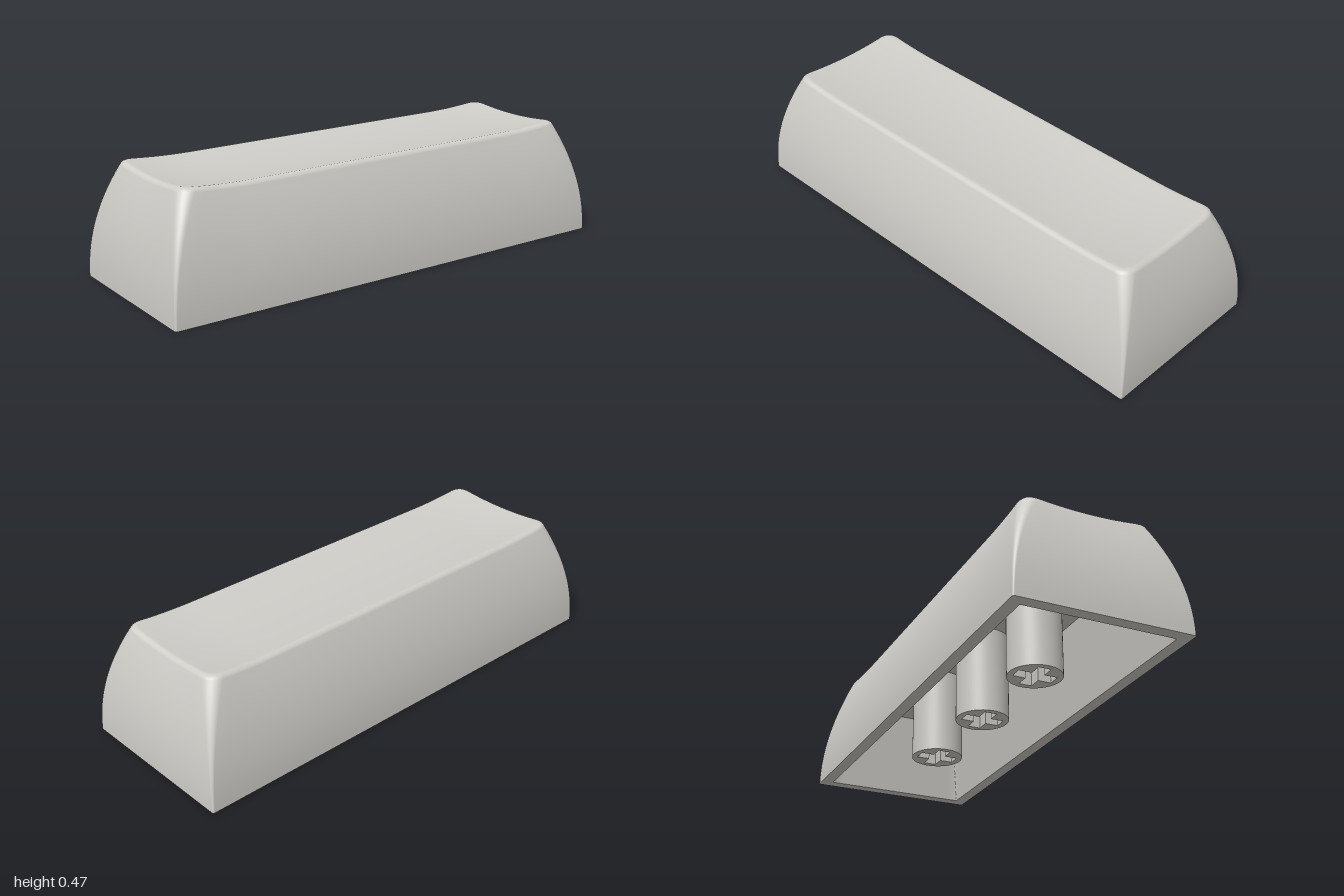
import * as THREE from 'three';
import { mergeVertices, toCreasedNormals } from 'three/addons/utils/BufferGeometryUtils.js';

const HX = 1, HZ = 0.355;      // half size of the base
const CEILING = 0.36;          // height of the hollow inside
const WALL = 0.05;

// Height of the scooped top: hollow across z, lifting towards both ends
function dish(x, z) {
  const u = THREE.MathUtils.clamp((Math.abs(x) - 0.6) / 0.284, 0, 1);
  const v = Math.min(Math.abs(z) / 0.239, 1);
  return 0.446 + 0.016 * v * v + 0.016 * u * u;
}

// Rounded rectangle inset from the base outline; height(x, z) gives y
function ring(inset, radius, height) {
  const hx = HX - inset, hz = Math.max(HZ - inset, 0);
  const r = Math.min(radius, hz);
  const flat = [];
  for (let q = 0; q < 4; q++) {
    const sx = q === 0 || q === 3 ? 1 : -1, sz = q < 2 ? 1 : -1;
    for (let i = 0; i <= 6; i++) {
      const a = (q + i / 6) * Math.PI / 2;
      flat.push([sx * (hx - r) + r * Math.cos(a), sz * (hz - r) + r * Math.sin(a)]);
    }
    // straight side up to the start of the next corner
    const [x, z] = flat[flat.length - 1];
    const long = q % 2 === 0, n = long ? 40 : 14;
    for (let i = 1; i < n; i++) {
      const k = 1 - 2 * i / n;
      flat.push(long ? [x * k, z] : [x, z * k]);
    }
  }
  return flat.map(([x, z]) => [x, height(x, z), z]);
}

// Skin joining successive rings
function loft(rings) {
  const n = rings[0].length, index = [];
  for (let i = 0; i < rings.length - 1; i++) {
    for (let j = 0; j < n; j++) {
      const a = i * n + j, b = i * n + (j + 1) % n, c = a + n, d = b + n;
      index.push(a, c, b, b, c, d);
    }
  }
  let g = new THREE.BufferGeometry();
  g.setAttribute('position', new THREE.Float32BufferAttribute(rings.flat(2), 3));
  g.setIndex(index);
  g = mergeVertices(g, 1e-5);
  g.computeVertexNormals();
  return g;
}

// Curved sides, rounded rim and scooped top in one smooth skin
function outerGeometry() {
  const rings = [];
  for (let i = 0; i <= 14; i++) {
    const t = i / 14;
    rings.push(ring(0.45 * (t * 0.455) ** 2, 0.008 + 0.045 * t * t,
      (x, z) => t * (dish(x, z) - 0.0156)));
  }
  const R = 0.025, start = 0.385;
  for (let i = 1; i <= 6; i++) {
    const a = start + (Math.PI / 2 - start) * i / 6;
    rings.push(ring(0.093 + R * (Math.cos(start) - Math.cos(a)), 0.053,
      (x, z) => dish(x, z) - R + R * Math.sin(a)));
  }
  const edge = 0.093 + R * Math.cos(start);
  for (let i = 1; i <= 16; i++) {
    rings.push(ring(edge + (HZ - edge) * i / 16, 0.05, dish));
  }
  return loft(rings);
}

// Round post with a cross-shaped socket
function stemGeometry() {
  const shape = new THREE.Shape().absarc(0, 0, 0.107, 0, Math.PI * 2);
  const l = 0.08, w = 0.026;
  const cross = [[l, w], [w, w], [w, l], [-w, l], [-w, w], [-l, w],
    [-l, -w], [-w, -w], [-w, -l], [w, -l], [w, -w], [l, -w]];
  shape.holes.push(new THREE.Path(cross.map(([x, y]) => new THREE.Vector2(x, y))));
  const g = new THREE.ExtrudeGeometry(shape,
    { depth: CEILING, bevelEnabled: false, curveSegments: 24 });
  g.rotateX(-Math.PI / 2);
  return toCreasedNormals(g, 0.6);
}

export function createModel() {
  const model = new THREE.Group();
  model.name = 'keycap';
  const plastic = new THREE.MeshStandardMaterial({ color: 0xd0cec9 });
  plastic.name = 'light grey plastic';

  const add = (name, geometry, x = 0) => {
    const mesh = new THREE.Mesh(geometry, plastic);
    mesh.name = name;
    mesh.position.x = x;
    model.add(mesh);
  };

  add('outerShell', outerGeometry());

  // Hollow underside: ceiling, walls and bottom lip
  const top = () => CEILING, floor = () => 0;
  const upper = ring(WALL + 0.04, 0.004, top);
  const lower = ring(WALL, 0.004, floor);
  add('cavityCeiling', loft([ring(HZ, 0, top), upper]));
  add('cavityWalls', toCreasedNormals(loft([upper, lower]), 0.5));
  add('bottomLip', loft([lower, ring(0, 0.008, floor)]));

  // Three mounting posts
  const stem = stemGeometry();
  ['rightStem', 'centreStem', 'leftStem'].forEach((name, i) => add(name, stem, (i - 1) * 0.463));
  return model;
}
